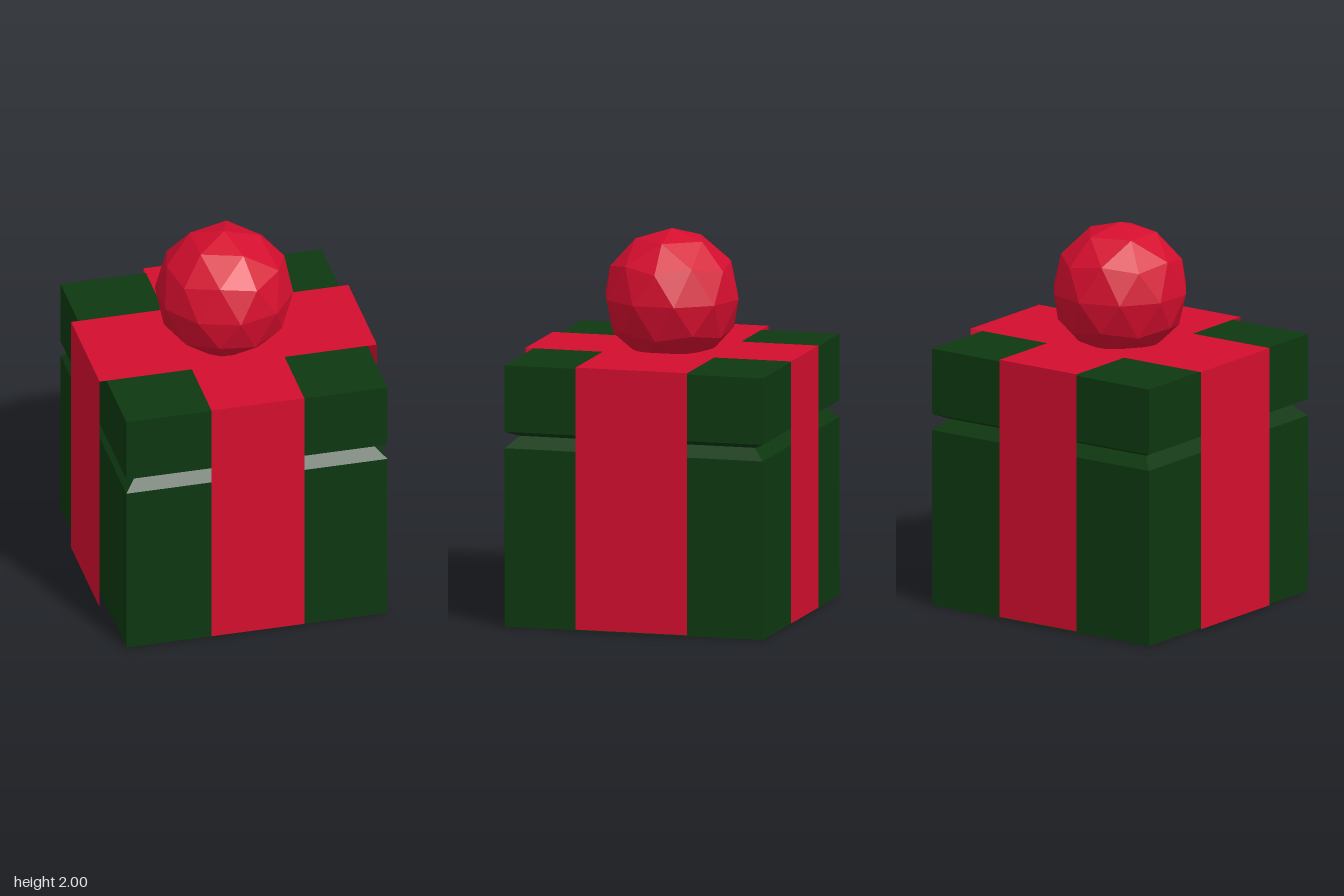
import * as THREE from 'three';

const green = new THREE.MeshStandardMaterial({ color: 0x0d3810 });
green.name = 'dark green paper';
const red = new THREE.MeshStandardMaterial({ color: 0xd40e2e, side: THREE.DoubleSide });
red.name = 'red ribbon';

function add(parent, name, geometry, material) {
  const mesh = new THREE.Mesh(geometry, material);
  mesh.name = name;
  parent.add(mesh);
  return mesh;
}

// Open ribbon strip: up one side, across the top and down the other, along z
function ribbon(name, halfWidth, reach, bottom, top) {
  const group = new THREE.Group();
  group.name = name;
  const height = top - bottom;
  add(group, 'ribbonTop', new THREE.PlaneGeometry(halfWidth * 2, reach * 2)
    .rotateX(-Math.PI / 2).translate(0, top, 0), red);
  for (const turn of [0, Math.PI]) {
    add(group, 'ribbonSide', new THREE.PlaneGeometry(halfWidth * 2, height)
      .translate(0, bottom + height / 2, reach).rotateY(turn), red);
  }
  return group;
}

export function createModel() {
  const model = new THREE.Group();
  model.name = 'giftBox';

  // Square box with a notch between body and lid: [half width, height]
  const profile = [[0, 0], [0.692, 0], [0.692, 0.932], [0.63, 0.99],
    [0.692, 1.018], [0.692, 1.365], [0, 1.365]]
    .map(([w, y]) => new THREE.Vector2(w * Math.SQRT2, y));
  const box = new THREE.LatheGeometry(profile, 4, Math.PI / 4).toNonIndexed();
  box.computeVertexNormals();
  add(model, 'box', box, green);

  // Crossed ribbons
  model.add(ribbon('frontBackRibbon', 0.246, 0.712, 0.012, 1.38));
  const cross = ribbon('sideRibbon', 0.299, 0.735, 0.012, 1.38);
  cross.rotation.y = Math.PI / 2;
  model.add(cross);

  // Faceted ball, turned so that a corner points straight up
  const golden = (1 + Math.sqrt(5)) / 2;
  add(model, 'ball', new THREE.IcosahedronGeometry(0.357, 1)
    .rotateX(-Math.atan(golden)).rotateY(Math.PI / 2).translate(0, 1.643, 0), red);

  // Flat facets on the ball
  model.getObjectByName('ball').geometry.computeVertexNormals();
  return model;
}
